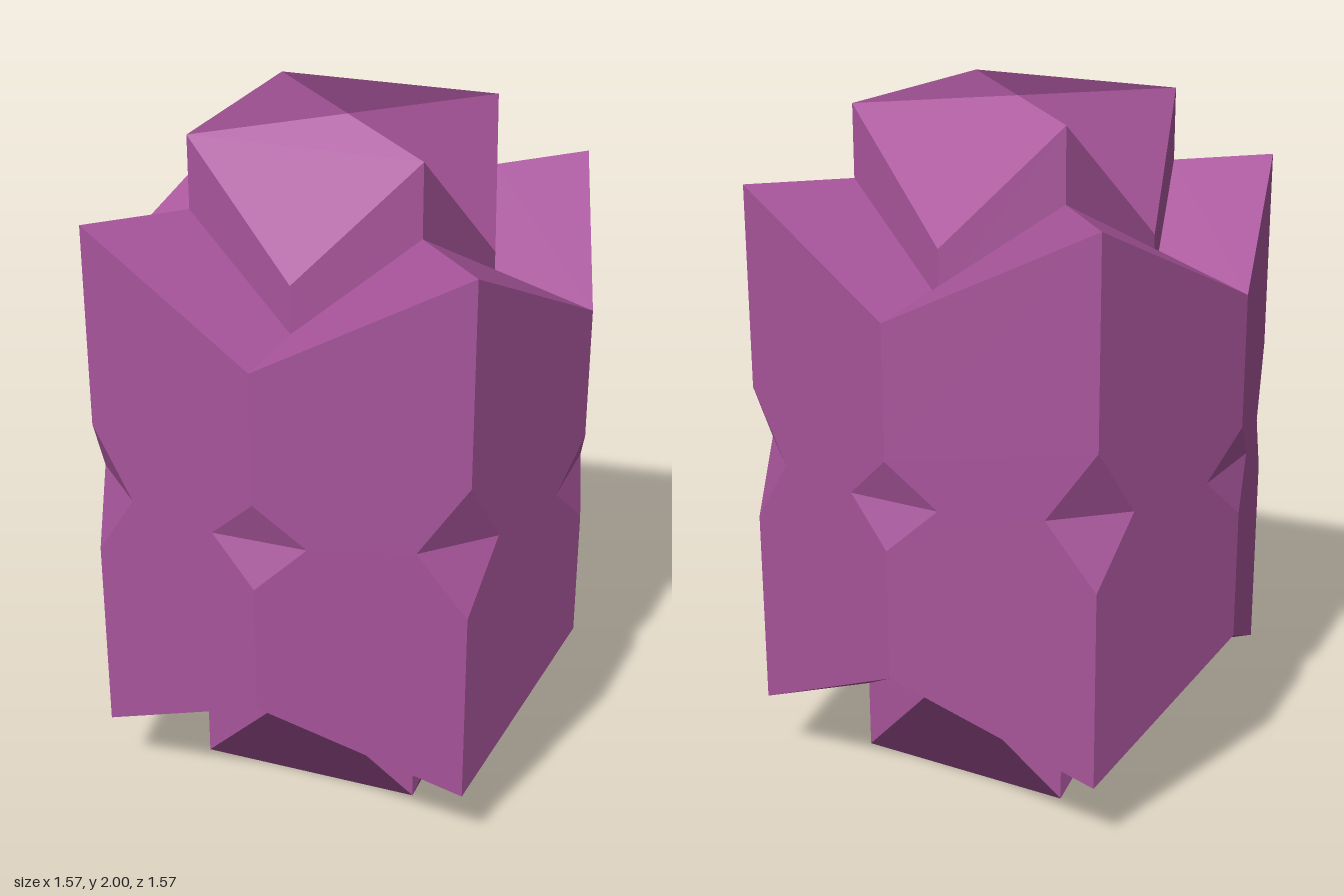
import * as THREE from 'three';

// Faceted crystal: one octant is described (heights relative to the middle, y = 0),
// then mirrored to all sides.
export function createModel() {
  const positions = [], normals = [];

  // Adds a face made of triangles sharing one averaged flat normal.
  function addFace(points, triangles, mirror) {
    const { sx, sy, sz, swap } = mirror;
    const flip = sx * sy * sz * (swap ? -1 : 1) < 0;
    const pts = points.map(([x, y, z]) =>
      new THREE.Vector3(sx * (swap ? z : x), sy * y, sz * (swap ? x : z)));
    const normal = new THREE.Vector3();
    const corners = [];
    for (const [i, j, k] of triangles) {
      const [a, b, c] = flip ? [pts[i], pts[k], pts[j]] : [pts[i], pts[j], pts[k]];
      normal.add(b.clone().sub(a).cross(c.clone().sub(a)));
      corners.push(a, b, c);
    }
    normal.normalize();
    for (const p of corners) {
      positions.push(p.x, p.y + 1, p.z);
      normals.push(normal.x, normal.y, normal.z);
    }
  }

  const quad = [[0, 1, 2], [0, 2, 3]];
  const onAxis = (r, y) => [r, y, 0];
  const onDiagonal = (r, y) => [r, y, r];

  // Inner column
  const capA = onAxis(0.475, 1), capD = onDiagonal(0.31, 0.65);
  const footA = onAxis(0.475, 0.79), footD = onDiagonal(0.31, 0.51);
  // Outer body
  const rimA = onAxis(0.787, 0.79), rimD = onDiagonal(0.512, 0.515);
  // Diamond notches cut into the vertical edges
  const notchA = onAxis(0.787, 0.2), notchD = onDiagonal(0.512, 0.13);
  const sideA = [0.72, 0, 0.125], sideD = [0.581, 0, 0.384];
  const midA = onAxis(0.72, 0), midD = onDiagonal(0.4825, 0);

  for (const sx of [1, -1]) for (const sy of [1, -1]) for (const sz of [1, -1]) {
    // End cap: one folded quad per quadrant
    const cap = [[0, 1, 0], [0, 1, 0.475], capD, capA];
    const valley = sx < 0 && sy < 0 && sz < 0;
    addFace(cap, valley ? quad : [[0, 1, 3], [1, 2, 3]], { sx, sy, sz, swap: false });

    for (const swap of [false, true]) {
      const mirror = { sx, sy, sz, swap };
      // Column wall and sloping shoulder
      addFace([capA, capD, footD, footA], quad, mirror);
      addFace([footA, footD, rimD, rimA], quad, mirror);
      // Outer wall around the notches
      addFace([rimA, rimD, notchD, sideD, sideA, notchA],
        [[0, 1, 2], [0, 2, 5], [2, 3, 5], [3, 4, 5]], mirror);
      // Notch floors
      addFace([notchA, sideA, midA], [[0, 1, 2]], mirror);
      addFace([notchD, midD, sideD], [[0, 1, 2]], mirror);
    }
  }

  const geometry = new THREE.BufferGeometry();
  geometry.setAttribute('position', new THREE.Float32BufferAttribute(positions, 3));
  geometry.setAttribute('normal', new THREE.Float32BufferAttribute(normals, 3));

  const crystal = new THREE.Mesh(geometry, new THREE.MeshStandardMaterial({ color: 0xa8559b }));
  crystal.name = 'crystal';
  const group = new THREE.Group();
  group.name = 'facetedCrystal';
  group.add(crystal);
  return group;
}
